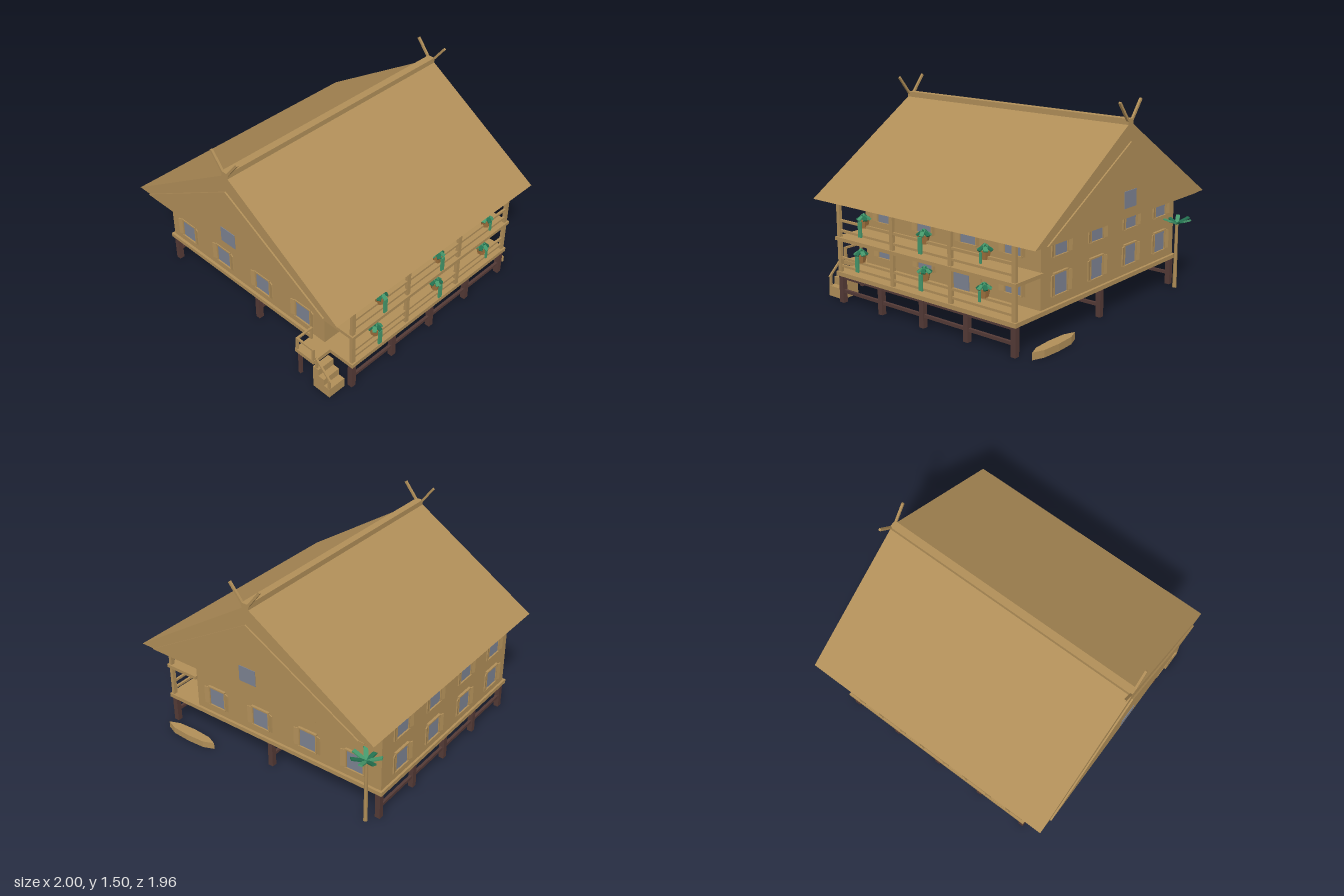
import * as THREE from 'three';

const mat = (name, color) => {
  const m = new THREE.MeshStandardMaterial({ color });
  m.name = name;
  return m;
};

export function createModel() {
  const wood = mat('wood', 0xb08e58);
  const darkWood = mat('dark wood', 0x543a36);
  const glass = mat('glass', 0x7c8291);
  const leaf = mat('leaf green', 0x45976a);
  const darkLeaf = mat('dark leaf green', 0x23704f);
  const clay = mat('clay', 0xa4743f);
  const house = new THREE.Group();
  house.name = 'stiltHouse';

  const add = (parent, name, geo, material, x = 0, y = 0, z = 0) => {
    const m = new THREE.Mesh(geo, material);
    m.name = name;
    m.position.set(x, y, z);
    parent.add(m);
    return m;
  };
  // Box given by its minimum and maximum corners
  const span = (parent, name, material, x0, x1, y0, y1, z0, z1) =>
    add(parent, name, new THREE.BoxGeometry(x1 - x0, y1 - y0, z1 - z0), material,
      (x0 + x1) / 2, (y0 + y1) / 2, (z0 + z1) / 2);
  // Square bar between two points
  const bar = (parent, name, material, a, b, t) => {
    const p = new THREE.Vector3(...a), q = new THREE.Vector3(...b);
    const m = add(parent, name, new THREE.BoxGeometry(t, t, p.distanceTo(q)), material);
    m.position.copy(p).lerp(q, 0.5);
    m.lookAt(q);
    return m;
  };
  const group = (name, x = 0, y = 0, z = 0, ry = 0) => {
    const g = new THREE.Group();
    g.name = name;
    g.position.set(x, y, z);
    g.rotation.y = ry;
    house.add(g);
    return g;
  };
  // Triangular prism with its length along x
  const prism = (halfZ, y0, y1, length) => {
    const s = new THREE.Shape([[-halfZ, y0], [halfZ, y0], [0, y1]].map(p => new THREE.Vector2(...p)));
    return new THREE.ExtrudeGeometry(s, { depth: length, bevelEnabled: false })
      .translate(0, 0, -length / 2).rotateY(Math.PI / 2);
  };

  // Floors and walls
  span(house, 'floor', wood, -0.81, 0.81, 0.2, 0.23, -0.926, 0.947);
  span(house, 'walls', wood, -0.79, 0.79, 0.23, 0.735, -0.91, 0.675);
  span(house, 'balconyFloor', wood, -0.81, 0.81, 0.457, 0.482, 0.67, 0.947);

  // Roof, ridge, gables and crossed finials
  add(house, 'roof', prism(0.98, 0.73, 1.36, 1.97), wood);
  span(house, 'ridge', wood, -0.985, 0.985, 1.34, 1.38, -0.028, 0.028);
  add(house, 'gablePanels', prism(0.87, 0.732, 1.232, 1.992), wood);
  for (const s of [-1, 1]) {
    span(house, 'gableWindow', glass, s * 0.997 - 0.003, s * 0.997 + 0.003, 0.8, 0.915, -0.068, 0.068);
    for (const d of [-1, 1]) {
      bar(house, 'finial', wood, [s * 0.977, 1.35, d * 0.008], [s * 0.977, 1.495, d * 0.122], 0.016);
    }
  }

  // Stilts with two cross beams per row
  for (const z of [-0.89, 0.01, 0.915]) {
    for (const x of [-0.78, -0.39, 0, 0.39, 0.78]) {
      span(house, 'stilt', darkWood, x - 0.019, x + 0.019, 0, 0.2, z - 0.019, z + 0.019);
    }
    for (const y of [0.085, 0.185]) {
      span(house, 'crossBeam', darkWood, -0.78, 0.78, y - 0.011, y + 0.011, z - 0.01, z + 0.01);
    }
  }

  // Windows with a frame and two open shutters
  const shutter = (parent, side) => {
    const m = add(parent, 'shutter', new THREE.BoxGeometry(0.04, 0.135, 0.008), wood, side * 0.09, 0, 0.012);
    m.rotation.y = -side * 0.3;
  };
  const windowAt = (x, y, z, ry) => {
    const w = group('window', x, y, z, ry);
    add(w, 'pane', new THREE.BoxGeometry(0.132, 0.14, 0.006), glass, 0, 0, 0.004);
    for (const s of [-1, 1]) {
      add(w, 'frameRail', new THREE.BoxGeometry(0.152, 0.01, 0.02), wood, 0, s * 0.075, 0.008);
      add(w, 'frameSide', new THREE.BoxGeometry(0.01, 0.15, 0.016), wood, s * 0.07, 0, 0.006);
      shutter(w, s);
    }
  };
  for (const y of [0.37, 0.63]) {
    for (const z of [0.48, 0.083, -0.323, -0.708]) {
      windowAt(0.79, y, z, Math.PI / 2);
      windowAt(-0.79, y, z, -Math.PI / 2);
    }
    for (const x of [-0.585, -0.2, 0.195, 0.575]) {
      windowAt(x, y, -0.91, Math.PI);
      if (y > 0.5 || x !== 0.195) windowAt(x, y, 0.675, 0);
    }
  }

  // Front door
  const door = group('door', 0.12, 0.34, 0.675);
  add(door, 'doorPane', new THREE.BoxGeometry(0.155, 0.22, 0.008), glass, 0, 0, 0.004);
  add(door, 'lintel', new THREE.BoxGeometry(0.175, 0.012, 0.02), wood, 0, 0.116, 0.008);
  add(door, 'doorShutter', new THREE.BoxGeometry(0.1, 0.15, 0.012), wood, 0.135, 0.03, 0.006);

  // Veranda posts and rails
  for (const x of [-0.785, -0.265, 0.26, 0.785]) {
    span(house, 'verandaPost', wood, x - 0.015, x + 0.015, 0.23, 0.735, 0.911, 0.935);
  }
  for (const y of [0.272, 0.33, 0.527, 0.6]) {
    span(house, 'verandaRail', wood, -0.785, 0.785, y - 0.008, y + 0.008, 0.915, 0.931);
  }

  // Side landing with steps and handrails
  span(house, 'landing', wood, -0.963, -0.8, 0.2, 0.23, 0.57, 0.745);
  span(house, 'landingStilt', darkWood, -0.95, -0.928, 0, 0.2, 0.585, 0.607);
  [0.185, 0.13, 0.075].forEach((h, i) =>
    span(house, 'step', wood, -0.963, -0.824, 0, h, 0.74 + i * 0.05, 0.79 + i * 0.05));
  for (const [x, z] of [[-0.953, 0.733], [-0.953, 0.585], [-0.825, 0.585]]) {
    span(house, 'landingPost', wood, x - 0.008, x + 0.008, 0.23, 0.325, z - 0.008, z + 0.008);
  }
  bar(house, 'landingRail', wood, [-0.953, 0.322, 0.585], [-0.953, 0.322, 0.741], 0.014);
  bar(house, 'landingRail', wood, [-0.961, 0.322, 0.585], [-0.817, 0.322, 0.585], 0.014);
  span(house, 'stairPost', wood, -0.961, -0.945, 0.18, 0.265, 0.757, 0.773);
  span(house, 'stairPost', wood, -0.961, -0.945, 0.075, 0.15, 0.872, 0.888);
  bar(house, 'stairRail', wood, [-0.953, 0.268, 0.758], [-0.953, 0.14, 0.893], 0.013);

  // Fan of flat leaves, rising or drooping by the given tilt
  const fan = (parent, count, length, width, tilt, y) => {
    for (let i = 0; i < count; i++) {
      const g = new THREE.BoxGeometry(width, 0.01, length).translate(0, 0, length / 2);
      const m = add(parent, 'frond', g, i % 2 ? darkLeaf : leaf, 0, y, 0);
      m.rotation.set(-tilt, (i / count) * Math.PI * 2, 0, 'YXZ');
    }
  };

  // Hanging planters along the veranda
  const planters = [[-0.535, 0.59], [0.03, 0.585], [0.55, 0.585], [-0.575, 0.335], [0.03, 0.335], [0.54, 0.335]];
  planters.forEach(([x, y], i) => {
    const p = group('planter', x, y, 0.923, i * 0.4);
    const pot = new THREE.CylinderGeometry(0.042, 0.028, 0.06, 6).toNonIndexed();
    pot.computeVertexNormals();
    add(p, 'pot', pot, clay, 0, 0.03, 0);
    add(p, 'foliage', new THREE.ConeGeometry(0.036, 0.045, 6).toNonIndexed(), leaf, 0, 0.082, 0);
    fan(p, 6, 0.058, 0.028, -0.6, 0.09);
    const vine = group('vine', x + (i % 3 === 2 ? 0.0 : 0.005), y + 0.01, 0.923);
    const drop = i % 3 === 2 ? 0.07 : 0.11;
    add(vine, 'trailingVine', new THREE.BoxGeometry(i % 3 === 2 ? 0.015 : 0.03, drop, 0.012), leaf,
      0, 0.05 - drop / 2 - 0.01, 0.042);
  });

  // Palm tree
  const palm = group('palm', 0.862, 0, -0.842);
  add(palm, 'trunk', new THREE.CylinderGeometry(0.011, 0.016, 0.49, 6), wood, 0, 0.245, 0);
  fan(palm, 7, 0.108, 0.03, 0.35, 0.485);

  // Canoe with pointed ends
  const plan = [[0, -0.22], [0.032, -0.14], [0.04, 0], [0.032, 0.14], [0, 0.22], [-0.032, 0.14], [-0.04, 0], [-0.032, -0.14]];
  const hull = new THREE.ExtrudeGeometry(new THREE.Shape(plan.map(p => new THREE.Vector2(...p))),
    { depth: 0.05, bevelEnabled: false }).rotateX(-Math.PI / 2);
  add(house, 'canoe', hull, wood, 0.895, 0, 0.67);

  return house;
}
